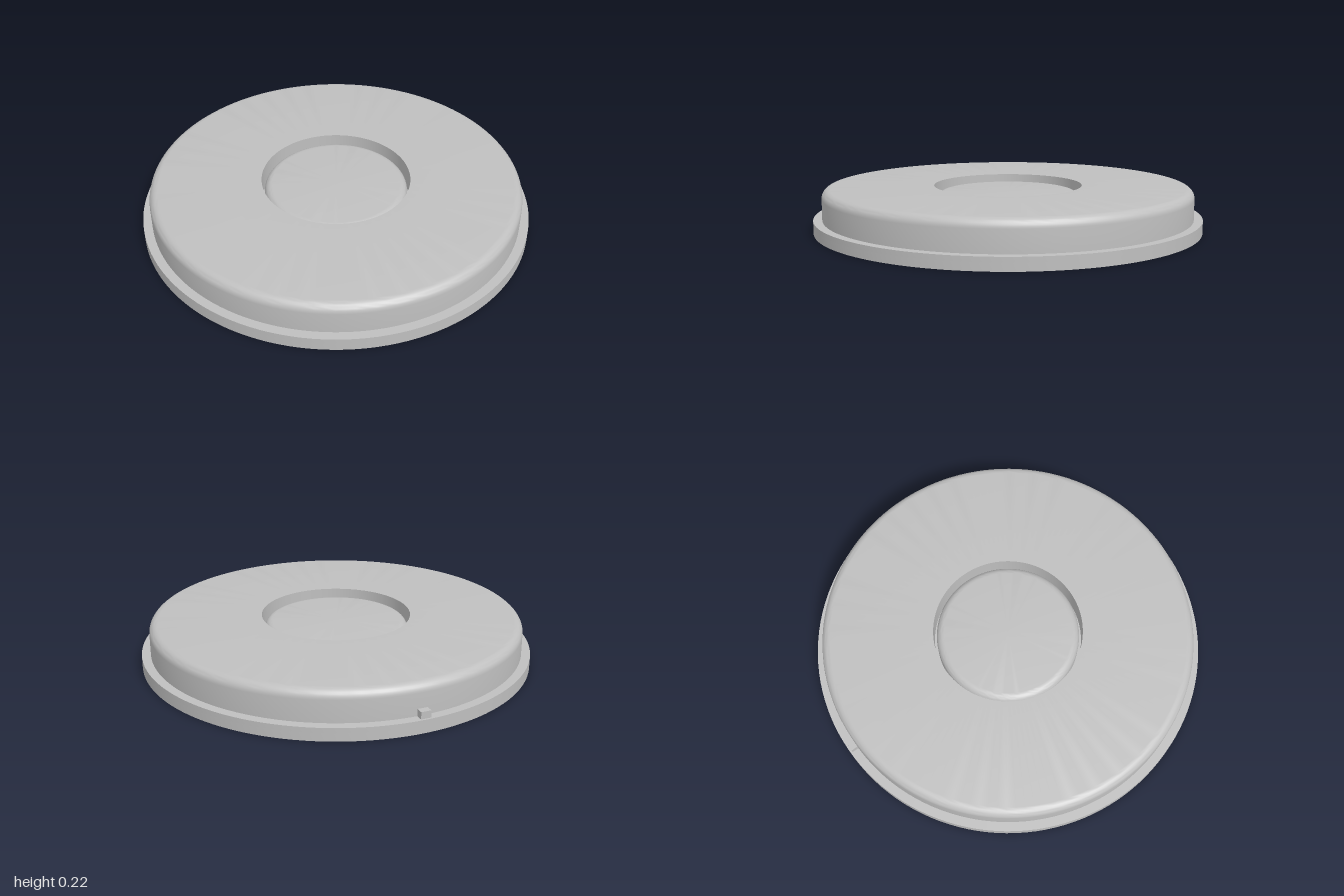
import * as THREE from 'three';
import { toCreasedNormals } from 'three/addons/utils/BufferGeometryUtils.js';

const SEGMENTS = 128;
const RECESS = 0.04; // depth of the mounting slots underneath

// Quarter-round edge that ends flat at height top
function fillet(radius, top, r) {
  return Array.from({ length: 9 }, (_, i) => {
    const a = (i / 8) * Math.PI / 2;
    return [radius - r + r * Math.cos(a), top - r + r * Math.sin(a)];
  });
}

function turned(profile) {
  const points = profile.map(([x, y]) => new THREE.Vector2(x, y));
  return toCreasedNormals(new THREE.LatheGeometry(points, SEGMENTS), 0.5);
}

// Mounting slot: a round hole crossed by a narrow slot running along z
function slotPath(cx, cy) {
  const w = 0.026, l = 0.135, r = 0.075;
  const s = Math.sqrt(r * r - w * w), a = Math.atan2(s, w);
  const path = new THREE.Path();
  path.moveTo(cx + w, cy - l);
  path.lineTo(cx + w, cy - s);
  path.absarc(cx, cy, r, -a, a, false);
  path.lineTo(cx + w, cy + l);
  path.lineTo(cx - w, cy + l);
  path.lineTo(cx - w, cy + s);
  path.absarc(cx, cy, r, Math.PI - a, Math.PI + a, false);
  path.lineTo(cx - w, cy - l);
  path.closePath();
  return path;
}

// Flat round plate standing on y = 0 with holes cut through it
function plate(radius, holes) {
  const shape = new THREE.Shape();
  shape.absarc(0, 0, radius, 0, Math.PI * 2, false);
  shape.holes.push(...holes);
  const g = new THREE.ExtrudeGeometry(shape, {
    depth: RECESS, bevelEnabled: false, curveSegments: SEGMENTS / 2,
  });
  g.rotateX(-Math.PI / 2);
  return toCreasedNormals(g, 0.5);
}

export function createModel() {
  const model = new THREE.Group();
  model.name = 'pushButtonDisc';
  const grey = new THREE.MeshStandardMaterial({ color: 0xbfbfbf });
  grey.name = 'grey';

  const add = (name, geometry, parent = model) => {
    const mesh = new THREE.Mesh(geometry, grey);
    mesh.name = name;
    parent.add(mesh);
    return mesh;
  };

  // Housing: rim, rounded ring and stepped centre hole
  const housing = new THREE.Group();
  housing.name = 'housing';
  model.add(housing);
  add('housingBody', turned([
    [0.41, RECESS], [1, RECESS], [1, 0.065], [0.955, 0.065],
    ...fillet(0.955, 0.22, 0.045),
    [0.383, 0.22], [0.383, 0.09], [0.41, 0.09], [0.41, RECESS],
  ]), housing);

  const buttonHole = new THREE.Path();
  buttonHole.absarc(0, 0, 0.41, 0, Math.PI * 2, true);
  const slots = [[1, 0], [-1, 0], [0, 1], [0, -1]].map(([x, y]) => slotPath(x * 0.69, y * 0.69));
  add('housingBasePlate', plate(1, [buttonHole, ...slots]), housing);

  // Centre button with a retaining flange
  const button = new THREE.Group();
  button.name = 'button';
  model.add(button);
  add('buttonBody', turned([
    [0, RECESS], [0.4, RECESS], [0.4, 0.08], [0.369, 0.08],
    ...fillet(0.369, 0.186, 0.04), [0, 0.186],
  ]), button);
  add('buttonBasePlate', plate(0.4, [slotPath(0, 0)]), button);

  // Small locating tab on the back of the rim
  const tab = add('rearTab', new THREE.BoxGeometry(0.05, 0.04, 0.04));
  tab.position.set(0, 0.08, -0.97);

  return model;
}
